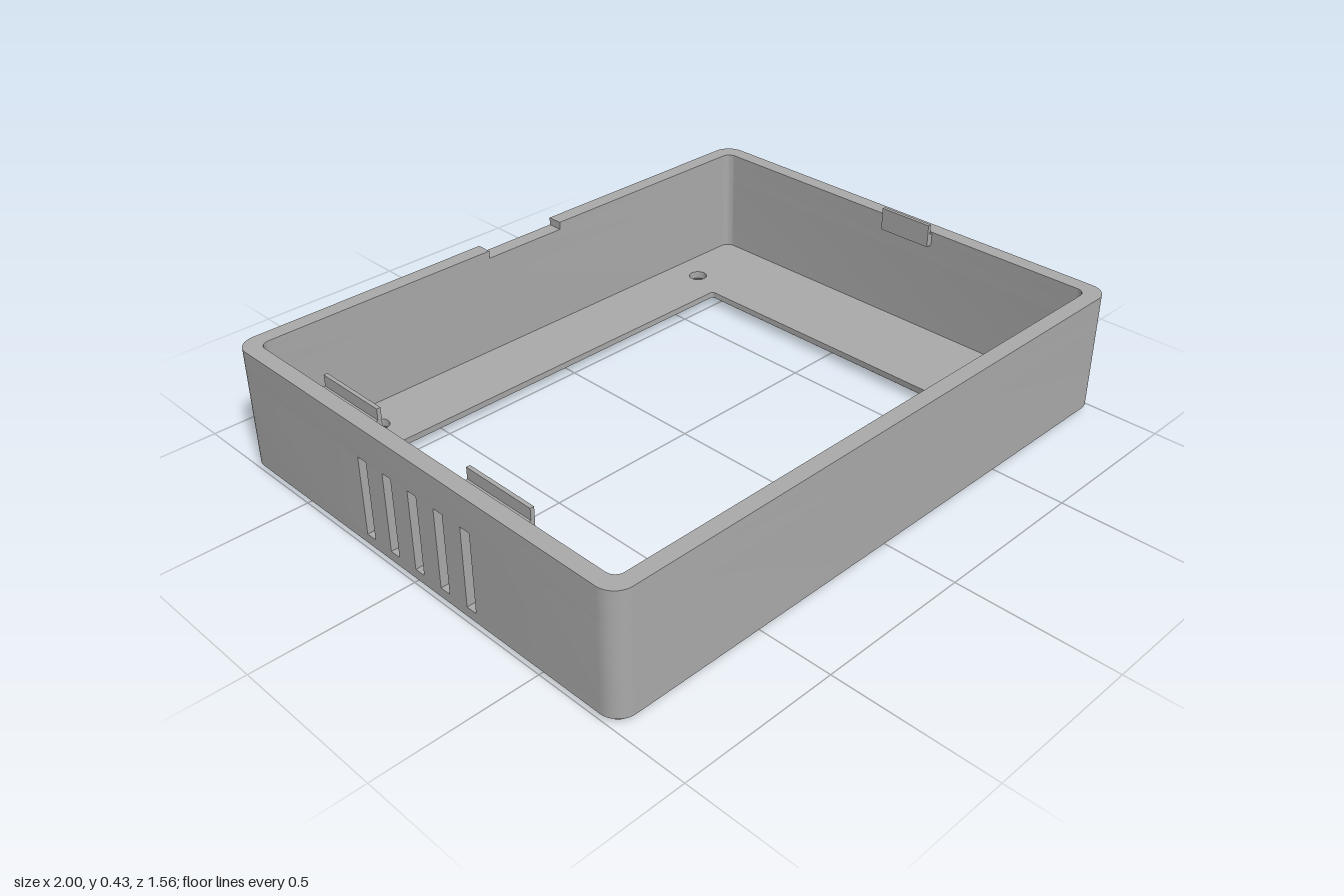
import * as THREE from 'three';
import { mergeGeometries, toCreasedNormals } from 'three/addons/utils/BufferGeometryUtils.js';

const ARC = 8; // segments per rounded corner
const HEIGHT = 0.4, FLOOR = 0.05, NOTCH = 0.025;

// Plan outlines are drawn counter-clockwise in (x, -z).
function roundedRect(cx, cz, hw, hd, r) {
  const pts = [];
  [[1, 1], [-1, 1], [-1, -1], [1, -1]].forEach(([sx, sy], k) => {
    for (let i = 0; i <= ARC; i++) {
      const a = (k + i / ARC) * Math.PI / 2;
      pts.push(new THREE.Vector2(
        cx + sx * (hw - r) + r * Math.cos(a),
        -cz + sy * (hd - r) + r * Math.sin(a)));
    }
  });
  return pts;
}

function circle(cx, cz, r, n = 32) {
  return Array.from({ length: n }, (_, i) => {
    const a = i / n * Math.PI * 2;
    return new THREE.Vector2(cx + r * Math.cos(a), -cz + r * Math.sin(a));
  });
}

// Wall between two outlines at different heights
function loft(lower, y0, upper, y1, inward = false) {
  const pos = [], n = lower.length;
  const put = (p, y) => pos.push(p.x, y, -p.y);
  for (let i = 0; i < n; i++) {
    const j = (i + 1) % n;
    const [s, e] = inward ? [j, i] : [i, j];
    put(lower[s], y0); put(lower[e], y0); put(upper[e], y1);
    put(lower[s], y0); put(upper[e], y1); put(upper[s], y1);
  }
  const g = new THREE.BufferGeometry();
  g.setAttribute('position', new THREE.Float32BufferAttribute(pos, 3));
  return g;
}

function makeShape(outline, holes = []) {
  const s = new THREE.Shape(outline);
  s.holes = holes.map(h => new THREE.Path(h));
  return s;
}

// Flat horizontal face with holes
function cap(outline, holes, y, down = false) {
  const src = new THREE.ShapeGeometry(makeShape(outline, holes));
  src.rotateX(-Math.PI / 2).translate(0, y, 0);
  if (down) src.index.array.reverse();
  const g = src.toNonIndexed();
  g.deleteAttribute('uv');
  g.deleteAttribute('normal');
  return g;
}

function layer(outline, holes, y0, y1) {
  const g = new THREE.ExtrudeGeometry(makeShape(outline, holes), { depth: y1 - y0, bevelEnabled: false });
  g.rotateX(-Math.PI / 2).translate(0, y0, 0);
  return toCreasedNormals(g, 0.5);
}

export function createModel() {
  const group = new THREE.Group();
  const grey = new THREE.MeshStandardMaterial({ color: 0xaaaaaa });
  grey.name = 'grey plastic';
  const add = (name, geometry) => {
    const m = new THREE.Mesh(geometry, grey);
    m.name = name;
    group.add(m);
    return m;
  };

  const outer = roundedRect(0, 0, 1, 0.78, 0.06);
  const inner = roundedRect(0, 0, 0.95, 0.73, 0.03);

  // Floor: chamfered foot, bevelled window and countersunk screw holes
  const foot = roundedRect(0, 0, 0.98, 0.76, 0.04);
  const openings = [{
    wide: roundedRect(-0.015, -0.008, 0.695, 0.537, 0.01),
    narrow: roundedRect(-0.015, -0.008, 0.655, 0.497, 0.008),
    y: 0.03,
  }];
  for (const x of [-0.66, 0.69]) for (const z of [-0.625, 0.615]) {
    openings.push({ wide: circle(x, z, 0.05), narrow: circle(x, z, 0.03), y: 0.025 });
  }
  const floorParts = [
    cap(foot, openings.map(o => o.wide), 0, true),
    cap(outer, openings.map(o => o.narrow), FLOOR),
    loft(foot, 0, outer, 0.02),
    loft(outer, 0.02, outer, FLOOR),
  ];
  for (const o of openings) {
    floorParts.push(loft(o.wide, 0, o.narrow, o.y, true), loft(o.narrow, o.y, o.narrow, FLOOR, true));
  }
  add('floor', toCreasedNormals(mergeGeometries(floorParts), 0.5));

  // Lower walls, with five vent grooves in the outside of the -x wall
  const grooves = [];
  for (let i = 0; i < 5; i++) {
    const z = 0.03 + (i - 2) * 0.107, w = 0.018, d = 0.03;
    for (const [x, dz] of [[-1, -w], [-1 + d, -w], [-1 + d, w], [-1, w]]) {
      grooves.push(new THREE.Vector2(x, -(z + dz)));
    }
  }
  const side = 2 * (ARC + 1);
  const grooved = [...outer.slice(0, side), ...grooves, ...outer.slice(side)];
  add('ventedWalls', layer(grooved, [inner], FLOOR, 0.3));

  // Upper walls
  add('upperWalls', layer(outer, [inner], 0.3, HEIGHT - NOTCH));

  // Rim, left open at the back for the pry notch
  const fromBack = pts => [...pts.slice(ARC + 1), ...pts.slice(0, ARC + 1)];
  const v = (x, y) => new THREE.Vector2(x, y);
  const rim = [
    v(-0.13, 0.78), ...fromBack(outer), v(0.16, 0.78),
    v(0.16, 0.73), ...fromBack(inner).reverse(), v(-0.13, 0.73),
  ];
  add('notchedRim', layer(rim, [], HEIGHT - NOTCH, HEIGHT));

  // Snap tabs standing above the rim, each on a pad joined to the wall
  for (const [sx, z, length] of [[-1, -0.3, 0.24], [-1, 0.31, 0.24], [1, 0.07, 0.185]]) {
    add('snapTab', new THREE.BoxGeometry(0.012, 0.075, length)).position.set(sx * 0.934, 0.3925, z);
    add('tabPad', new THREE.BoxGeometry(0.014, 0.04, length)).position.set(sx * 0.946, 0.375, z);
  }
  return group;
}
